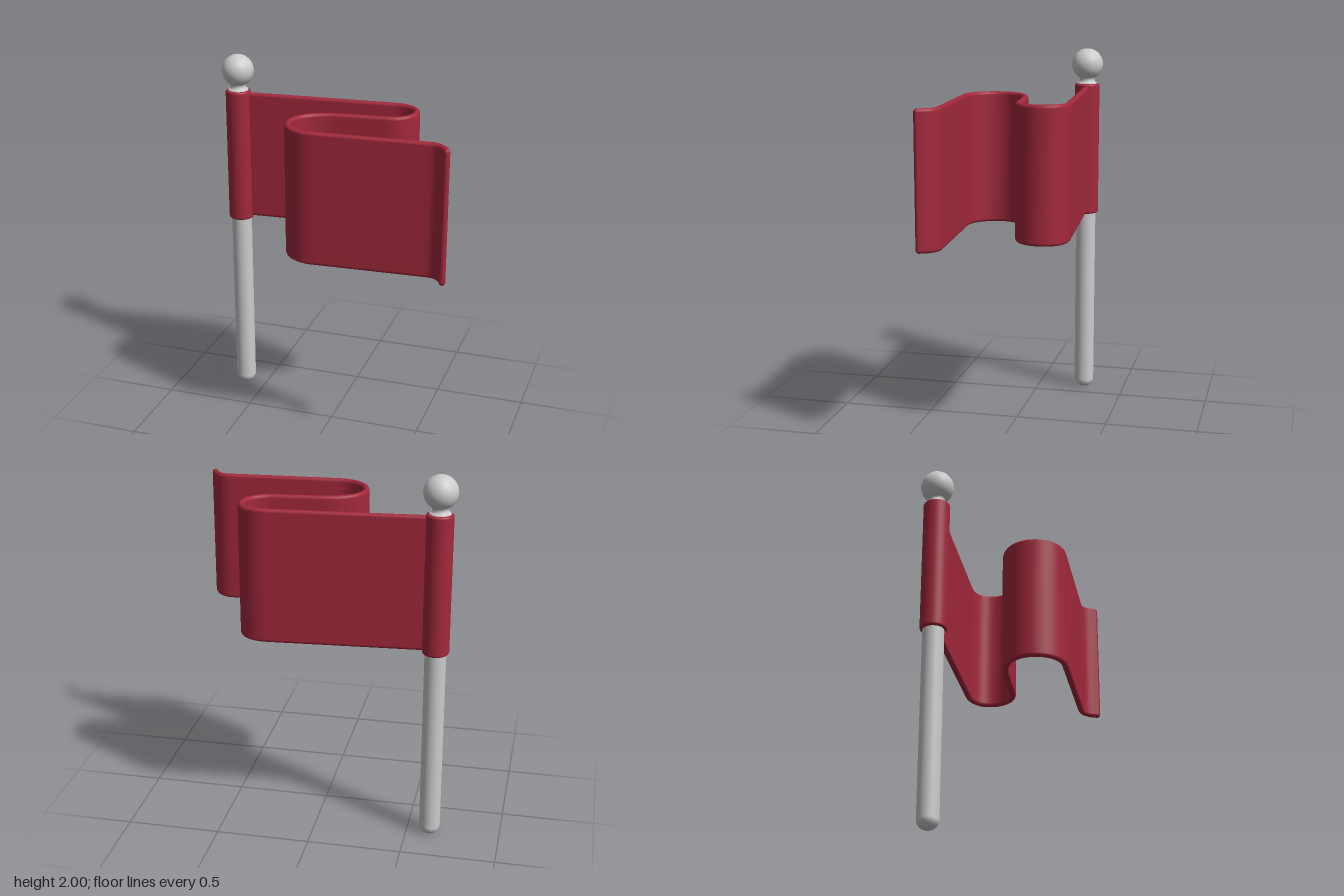
import * as THREE from 'three';

const POLE_X = -0.625, POLE_Z = -0.265;
const grey = new THREE.MeshStandardMaterial({ color: 0xcccccc });
const red = new THREE.MeshStandardMaterial({ color: 0xa3283c });

function add(group, name, geometry, material) {
  const mesh = new THREE.Mesh(geometry, material);
  mesh.name = name;
  group.add(mesh);
  return mesh;
}

// Upright round part with filleted ends; top may be a list of extra profile points
function roundedPost(radius, y0, y1, fillet0, fillet1, top = []) {
  const pts = [];
  const arc = (cy, f, a0) => {
    for (let i = 0; i <= 8; i++) {
      const a = a0 + (i / 8) * Math.PI / 2;
      pts.push(new THREE.Vector2(radius - f + f * Math.cos(a), cy + f * Math.sin(a)));
    }
  };
  pts.push(new THREE.Vector2(0, y0));
  arc(y0 + fillet0, fillet0, -Math.PI / 2);
  arc(y1 - fillet1, fillet1, 0);
  top.forEach(([r, y]) => pts.push(new THREE.Vector2(r, y)));
  if (!top.length) pts.push(new THREE.Vector2(0, y1));
  return new THREE.LatheGeometry(pts, 48);
}

// Folded centre line of the cloth, drawn in x and z
function clothPath() {
  const p = new THREE.Path();
  p.moveTo(POLE_X + 0.01, POLE_Z);
  p.lineTo(0.25, -0.326);
  p.bezierCurveTo(0.34, -0.331, 0.398, -0.28, 0.398, -0.205);
  p.bezierCurveTo(0.398, -0.135, 0.35, -0.084, 0.28, -0.074);
  p.lineTo(0.02, -0.047);
  p.bezierCurveTo(-0.11, -0.034, -0.186, 0.035, -0.186, 0.125);
  p.bezierCurveTo(-0.186, 0.22, -0.11, 0.295, -0.01, 0.289);
  p.lineTo(0.59, 0.258);
  p.bezierCurveTo(0.64, 0.256, 0.67, 0.28, 0.692, 0.335);
  return p;
}

// Sweeps a tall pill-shaped section along the path and rounds off the free end
function clothGeometry(path, yMid, halfHeight, r) {
  const steps = 140, capSteps = 6, arcSteps = 8;
  const rings = [];
  for (let i = 0; i <= steps; i++) rings.push({ u: i / steps, a: 0 });
  for (let i = 1; i <= capSteps; i++) rings.push({ u: 1, a: (i / capSteps) * Math.PI / 2 });
  const count = 2 * (arcSteps + 1), pos = [], index = [];
  rings.forEach(({ u, a }, i) => {
    const c = path.getPointAt(u), t = path.getTangentAt(u);
    const rr = r * Math.cos(a), push = r * Math.sin(a);
    for (let j = 0; j < count; j++) {
      const upper = j <= arcSteps;
      const th = ((upper ? j : j - 1) / arcSteps) * Math.PI;
      const n = rr * Math.cos(th);
      const y = (upper ? 1 : -1) * (halfHeight - r) + rr * Math.sin(th);
      pos.push(c.x + t.x * push + t.y * n, yMid + y, c.y + t.y * push - t.x * n);
      if (i < rings.length - 1) {
        const k = (j + 1) % count;
        const p = i * count + j, q = i * count + k;
        index.push(p, q, p + count, q, q + count, p + count);
      }
    }
  });
  const g = new THREE.BufferGeometry();
  g.setAttribute('position', new THREE.Float32BufferAttribute(pos, 3));
  g.setIndex(index);
  g.computeVertexNormals();
  return g;
}

export function createModel() {
  const model = new THREE.Group();
  model.name = 'flag';

  // Pole with rounded foot and a waisted neck under the ball
  const staff = new THREE.Group();
  staff.name = 'staff';
  staff.position.set(POLE_X, 0, POLE_Z);
  model.add(staff);
  add(staff, 'pole', roundedPost(0.056, 0, 1.812, 0.05, 0.01,
    [[0.043, 1.818], [0.04, 1.826], [0.043, 1.836], [0.052, 1.85]]), grey);
  add(staff, 'ballFinial', new THREE.SphereGeometry(0.0875, 48, 32), grey).position.y = 1.9125;

  // Cloth sleeve wrapped round the pole
  add(staff, 'sleeve', roundedPost(0.07, 1.057, 1.803, 0.012, 0.012), red);

  // Waving cloth
  add(model, 'cloth', clothGeometry(clothPath(), 1.432, 0.36, 0.017), red);
  return model;
}
